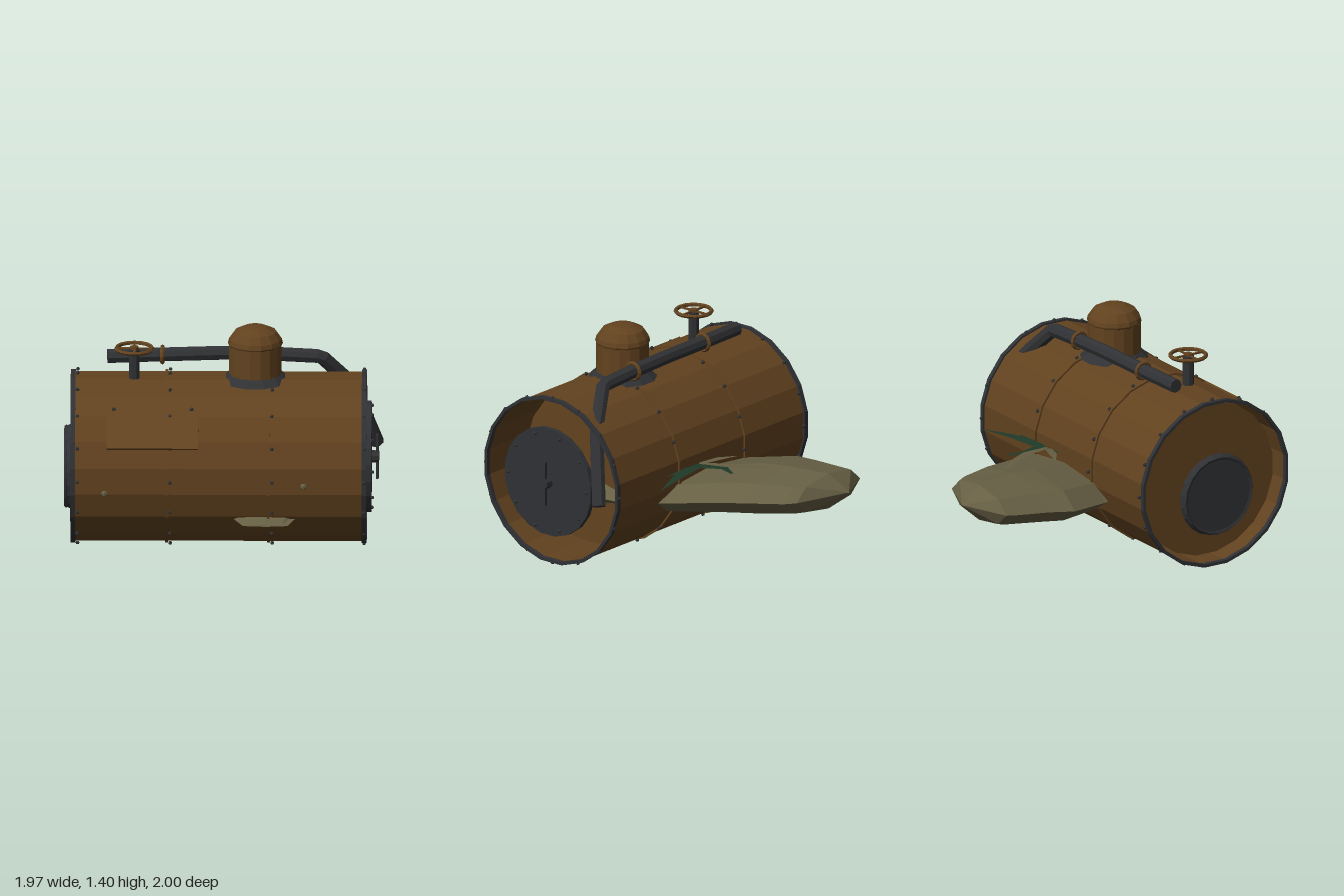
import * as THREE from 'three';

export function createModel() {
  const root = new THREE.Group();
  const mat = (name, color, extra = {}) => {
    const m = new THREE.MeshStandardMaterial({ color, flatShading: true, ...extra });
    m.name = name;
    return m;
  };
  const rust = mat('rust', 0x62421f, { side: THREE.DoubleSide });
  const iron = mat('dark iron', 0x303134);
  const stone = mat('mossy stone', 0x665f44, { side: THREE.DoubleSide });
  const green = mat('dark green', 0x1f3a28, { side: THREE.DoubleSide });

  const add = (name, geo, material, x = 0, y = 0, z = 0, parent = root) => {
    const m = new THREE.Mesh(geo, material);
    m.name = name;
    m.position.set(x, y, z);
    parent.add(m);
    return m;
  };
  // Tank axis runs along x through this centre
  const CY = 0.553, CZ = 0.43, R = 0.53;
  const alongX = (g) => g.rotateZ(-Math.PI / 2);
  const cyl = (r0, r1, h, n, open = false) => new THREE.CylinderGeometry(r0, r1, h, n, 1, open, Math.PI / n);
  const lathe = (pts, n) => new THREE.LatheGeometry(pts.map(p => new THREE.Vector2(...p)), n, Math.PI / n);

  // Open barrel with end walls set inside it
  add('tankShell', alongX(cyl(R, R, 1.82, 20, true)), rust, -0.035, CY, CZ);
  add('leftEndWall', alongX(cyl(0.495, 0.495, 0.015, 20)), rust, 0.52, CY, CZ);
  add('rightEndWall', alongX(cyl(0.495, 0.495, 0.015, 20)), rust, -0.83, CY, CZ);

  // Hoops: iron at the ends, rust in between, each with a row of rivets
  const hoop = (w, t) => alongX(lathe([[R - 0.008, -w / 2], [R + t, -w / 2], [R + t, w / 2], [R - 0.008, w / 2], [R - 0.008, -w / 2]], 20));
  const rivet = new THREE.IcosahedronGeometry(0.013, 0);
  const rivetRow = (name, x, y, z, r, n, axisOffset = 0) => {
    const g = new THREE.Group();
    g.name = name;
    for (let i = 0; i < n; i++) {
      const a = (i + axisOffset) / n * Math.PI * 2;
      add('rivet', rivet, iron, x, y + r * Math.cos(a), z + r * Math.sin(a), g);
    }
    root.add(g);
  };
  [[-0.93, -0.902, iron, 0.03, 0.012], [-0.352, -0.33, rust, 0.018, 0.012],
    [0.278, 0.3, rust, 0.018, 0.012], [0.868, 0.868, iron, 0.03, 0.012]].forEach(([x, rx, m, w, t]) => {
    add('hoop', hoop(w, t), m, x, CY, CZ);
    rivetRow('hoopRivets', rx, CY, CZ, R + 0.008, 16);
  });

  // Round hatch with a turning handle on the left end
  add('hatch', alongX(cyl(0.35, 0.35, 0.035, 20)), iron, 0.895, CY, CZ);
  rivetRow('hatchRivets', 0.916, CY, CZ, 0.315, 10, 0.5);
  add('handleHub', alongX(cyl(0.035, 0.04, 0.05, 8)), iron, 0.935, CY, CZ);
  add('handleBar', new THREE.BoxGeometry(0.018, 0.285, 0.032), iron, 0.948, CY, CZ);

  // Smaller cover on the right end
  add('endCover', alongX(cyl(0.265, 0.25, 0.03, 20)), iron, -0.962, 0.485, CZ);
  add('endCoverRim', new THREE.TorusGeometry(0.243, 0.014, 5, 20).rotateY(Math.PI / 2), iron, -0.972, 0.485, CZ);

  // Steam dome
  add('domeFlange', cyl(0.165, 0.215, 0.045, 12), iron, 0.195, 1.075, CZ);
  add('domeBody', cyl(0.165, 0.165, 0.25, 16), rust, 0.195, 1.155, CZ);
  add('domeCap', lathe([[0.163, 1.275], [0.17, 1.29], [0.163, 1.318], [0.13, 1.365], [0.07, 1.393], [0, 1.4]], 14), rust, 0.195, 0, CZ);

  // Pipe along the top that bends down past the left end
  const pts = [[-0.72, 1.152, 0.283], [-0.38, 1.158, 0.265], [0, 1.165, 0.25], [0.31, 1.158, 0.247],
    [0.6, 1.143, 0.247], [0.79, 0.93, 0.14], [0.945, 0.5, -0.01]].map(p => new THREE.Vector3(...p));
  const path = new THREE.CurvePath();
  for (let i = 1; i < pts.length; i++) path.add(new THREE.LineCurve3(pts[i - 1], pts[i]));
  add('pipe', new THREE.TubeGeometry(path, 60, 0.045, 8), iron);
  [[0, 1], [pts.length - 1, pts.length - 2]].forEach(([end, next]) => {
    const cap = add('pipeEnd', new THREE.CircleGeometry(0.044, 8), iron);
    cap.position.copy(pts[end]);
    cap.lookAt(pts[end].clone().multiplyScalar(2).sub(pts[next]));
  });
  [pts[1], pts[3]].forEach(p => {
    add('pipeCollar', new THREE.TorusGeometry(0.05, 0.014, 5, 12).rotateY(Math.PI / 2), rust, p.x, p.y, p.z);
  });

  // Valve stem and hand wheel
  const valve = new THREE.Group();
  valve.name = 'valve';
  valve.position.set(-0.552, 0, 0.485);
  root.add(valve);
  add('valveStem', cyl(0.035, 0.035, 0.22, 8), iron, 0, 1.155, 0, valve);
  add('wheelRim', new THREE.TorusGeometry(0.112, 0.013, 5, 16).rotateX(Math.PI / 2), rust, 0, 1.268, 0, valve);
  add('wheelHub', cyl(0.028, 0.028, 0.025, 8), rust, 0, 1.268, 0, valve);
  add('wheelSpoke', new THREE.BoxGeometry(0.22, 0.01, 0.014), rust, 0, 1.268, 0, valve);
  add('wheelSpoke', new THREE.BoxGeometry(0.014, 0.01, 0.22), rust, 0, 1.268, 0, valve);

  // Loose patch plate leaning on the front shoulder
  const patch = new THREE.Group();
  patch.name = 'patchPlate';
  patch.position.set(-0.437, 0.885, 0.865);
  patch.rotation.x = 0.675;
  root.add(patch);
  add('plate', new THREE.BoxGeometry(0.565, 0.015, 0.34), rust, 0, 0, 0, patch);
  [-0.24, 0.24].forEach(x => add('plateRivet', rivet, iron, x, 0.01, -0.12, patch));

  // Boulder running through the tank: z, x range, y range of each cross-section
  const sections = [[-1, -0.28, -0.26, 0.485, 0.495], [-0.86, -0.55, 0.06, 0.36, 0.59], [-0.8, -0.56, 0.11, 0.345, 0.592],
    [-0.57, -0.59, 0.22, 0.315, 0.59], [-0.4, -0.625, 0.29, 0.298, 0.575], [-0.1, -0.51, 0.43, 0.278, 0.525],
    [0.1, -0.43, 0.57, 0.27, 0.52], [0.4, -0.3, 0.64, 0.262, 0.55], [0.65, -0.15, 0.6, 0.258, 0.5],
    [0.95, 0.12, 0.4, 0.262, 0.275]];
  const N = 8, pos = [], idx = [];
  sections.forEach(([z, x0, x1, y0, y1]) => {
    for (let j = 0; j < N; j++) {
      const a = j / N * Math.PI * 2;
      pos.push((x0 + x1) / 2 + (x1 - x0) / 2 * Math.cos(a), (y0 + y1) / 2 + (y1 - y0) / 2 * Math.sin(a), z);
    }
  });
  for (let i = 0; i < sections.length - 1; i++) {
    for (let j = 0; j < N; j++) {
      const a = i * N + j, b = i * N + (j + 1) % N;
      idx.push(a, b, b + N, a, b + N, a + N);
    }
  }
  const surface = (p, f) => {
    const g = new THREE.BufferGeometry();
    g.setAttribute('position', new THREE.Float32BufferAttribute(p, 3));
    g.setIndex(f);
    g.computeVertexNormals();
    return g;
  };
  add('boulder', surface(pos, idx), stone);
  [[0.495, 0.525, 0.955], [-0.735, 0.475, 0.95]].forEach(p => add('pebble', new THREE.IcosahedronGeometry(0.022, 0), stone, ...p));

  // Flat leaves on the boulder: points of the midline and half widths
  const leaf = (name, material, line) => {
    const p = [], f = [];
    line.forEach(([x, y, z, w], i) => {
      const a = line[Math.max(i - 1, 0)], b = line[Math.min(i + 1, line.length - 1)];
      const dx = b[0] - a[0], dz = b[2] - a[2], l = Math.hypot(dx, dz);
      const ox = dz / l * w, oz = -dx / l * w;
      p.push(x + ox, y, z + oz, x - ox, y, z - oz);
      if (i) f.push(2 * i - 2, 2 * i - 1, 2 * i + 1, 2 * i - 2, 2 * i + 1, 2 * i);
    });
    add(name, surface(p, f), material);
  };
  leaf('greenLeaf', green, [[0.02, 0.57, -0.1, 0.01], [0.2, 0.585, -0.15, 0.035], [0.4, 0.59, -0.19, 0.03], [0.64, 0.575, -0.25, 0.002]]);
  leaf('greenLeaf', green, [[0.14, 0.57, -0.09, 0.03], [0.14, 0.585, -0.19, 0.03], [0.09, 0.59, -0.3, 0.03], [0.13, 0.585, -0.4, 0.01]]);
  leaf('greenLeaf', green, [[0.15, 0.57, -0.1, 0.02], [0.27, 0.583, -0.14, 0.03], [0.42, 0.58, -0.12, 0.002]]);
  leaf('paleLeaf', stone, [[0.11, 0.585, -0.12, 0.015], [0.06, 0.597, -0.3, 0.03], [-0.02, 0.6, -0.45, 0.025], [-0.1, 0.595, -0.56, 0.003]]);
  leaf('paleLeaf', stone, [[0.1, 0.58, -0.12, 0.02], [-0.02, 0.59, -0.165, 0.025], [-0.13, 0.59, -0.22, 0.003]]);

  return root;
}
